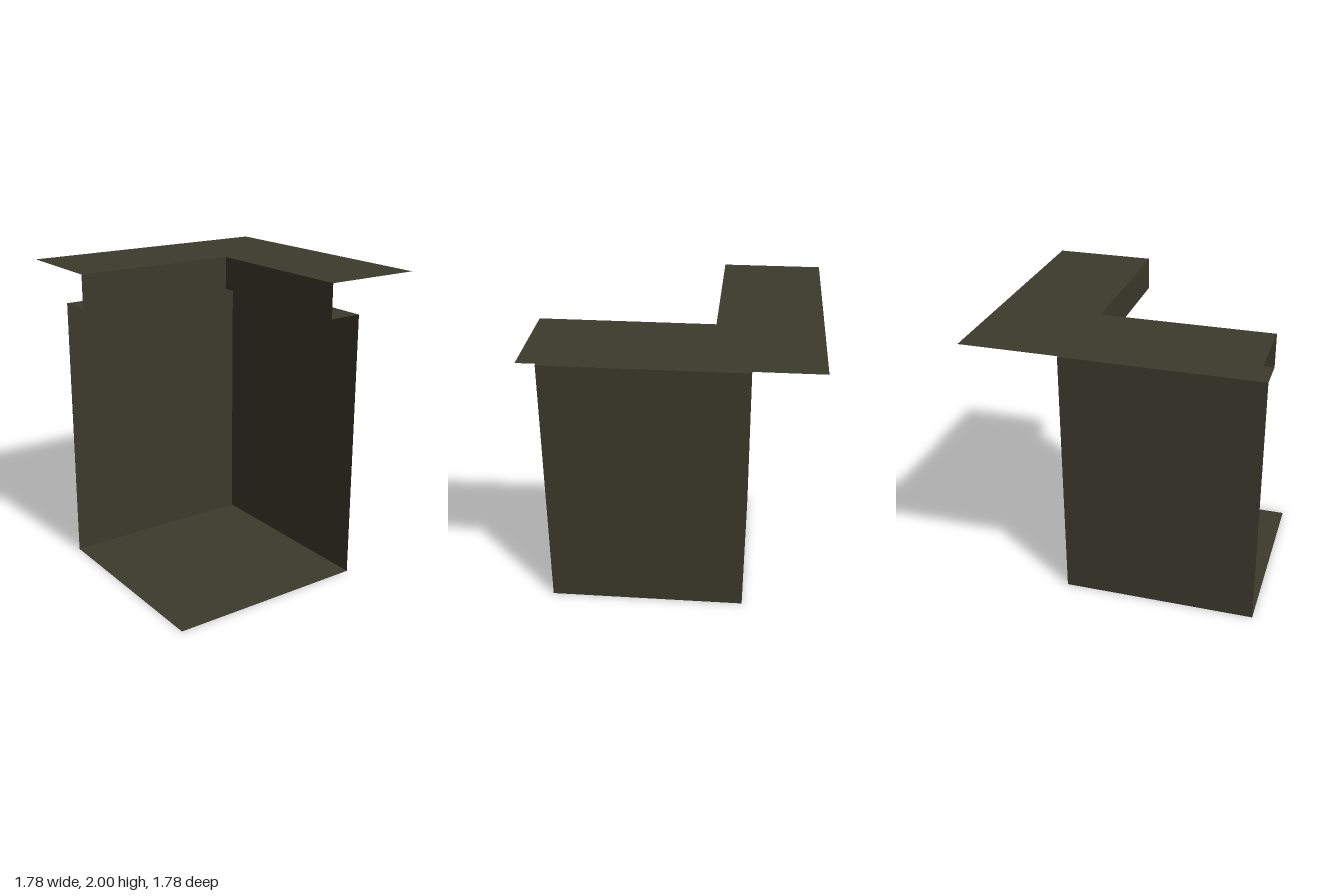
import * as THREE from 'three';

const U = 2 / 9;      // one grid step
const EDGE = 4 * U;   // outer limit where the shell is cut open

// L-shaped strip running along the back and the +x side,
// between two profile points [distance from centre, height]
function cornerStrip([da, ya], [db, yb]) {
  const ring = (d, y) => [-EDGE, y, -d, d, y, -d, d, y, EDGE];
  const indexed = new THREE.BufferGeometry();
  indexed.setAttribute('position',
    new THREE.Float32BufferAttribute([...ring(da, ya), ...ring(db, yb)], 3));
  const index = [];
  for (let i = 0; i < 2; i++) index.push(i, i + 3, i + 4, i, i + 4, i + 1);
  indexed.setIndex(index);
  const geometry = indexed.toNonIndexed();
  geometry.computeVertexNormals();
  return geometry;
}

export function createModel() {
  const group = new THREE.Group();
  const darkOlive = new THREE.MeshStandardMaterial({ color: 0x3a3a2c, side: THREE.DoubleSide });
  darkOlive.name = 'darkOlive';

  const add = (name, geometry) => {
    const mesh = new THREE.Mesh(geometry, darkOlive);
    mesh.name = name;
    group.add(mesh);
    return mesh;
  };

  // Square floor sheet, facing down
  const floor = add('floor', new THREE.PlaneGeometry(6 * U, 6 * U).rotateX(Math.PI / 2));
  floor.position.set(-U, 0, U);

  // Tall walls, inward ledge, short riser and wide top sheet
  add('walls', cornerStrip([2 * U, 0], [2 * U, 8 * U]));
  add('ledge', cornerStrip([2 * U, 8 * U], [U, 8 * U]));
  add('riser', cornerStrip([U, 8 * U], [U, 9 * U]));
  add('topSheet', cornerStrip([EDGE, 9 * U], [U, 9 * U]));

  return group;
}
